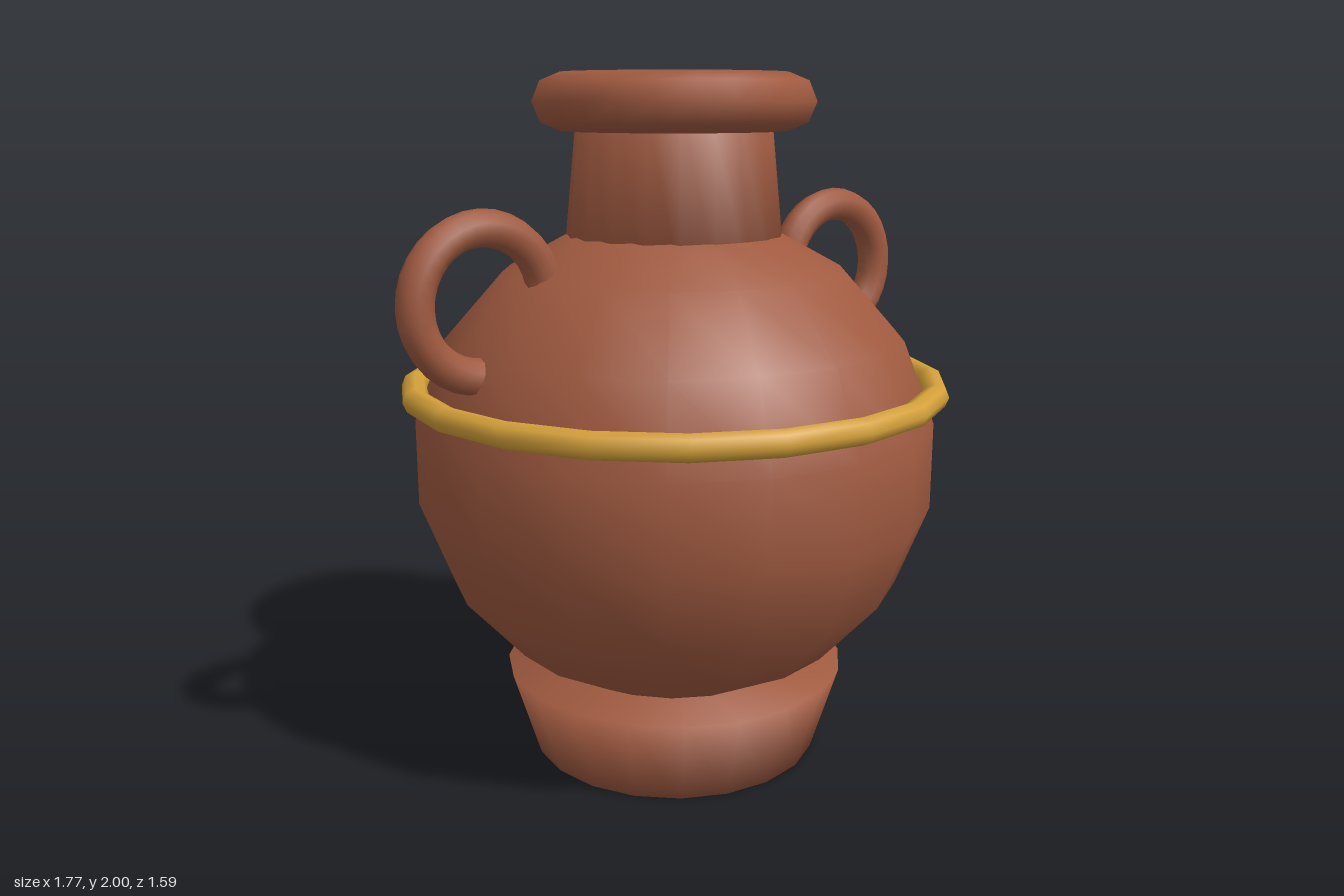
import * as THREE from 'three';

const clay = new THREE.MeshStandardMaterial({ color: 0xa05a40 });
const gold = new THREE.MeshStandardMaterial({ color: 0xd4a03a });

export function createModel() {
  const group = new THREE.Group();

  const add = (name, geometry, material, x = 0, y = 0) => {
    const mesh = new THREE.Mesh(geometry, material);
    mesh.name = name;
    mesh.position.set(x, y, 0);
    group.add(mesh);
    return mesh;
  };
  // Closed turned solid with softly shaded rims
  const turned = (points, sides) =>
    new THREE.LatheGeometry(points.map(([r, y]) => new THREE.Vector2(r, y)), sides);
  // Horizontal ring
  const ring = (radius, tube, tubeSides, sides) =>
    new THREE.TorusGeometry(radius, tube, tubeSides, sides).rotateX(-Math.PI / 2);

  // Flared foot
  add('base', turned([[0, 0], [0.43, 0], [0.51, 0.26], [0, 0.26]], 20), clay);

  // Slightly squashed round belly
  const belly = new THREE.SphereGeometry(1, 18, 9).rotateY(Math.PI / 2).scale(0.767, 0.72, 0.767);
  add('body', belly, clay, 0, 0.9);

  // Tapered neck, closed just inside the lip
  add('neck', turned([[0, 1.45], [0.32, 1.45], [0.275, 1.9], [0, 1.9]], 20), clay);

  // Thick rolled lip and thin decorative band
  add('lip', ring(0.32, 0.08, 8, 24), clay, 0, 1.92);
  add('band', ring(0.76, 0.037, 8, 20), gold, 0, 1.115);

  // Ring handles sunk into the shoulders
  for (const [name, side] of [['leftHandle', 1], ['rightHandle', -1]]) {
    add(name, new THREE.TorusGeometry(0.195, 0.05, 10, 32), clay, side * 0.64, 1.41);
  }

  return group;
}
